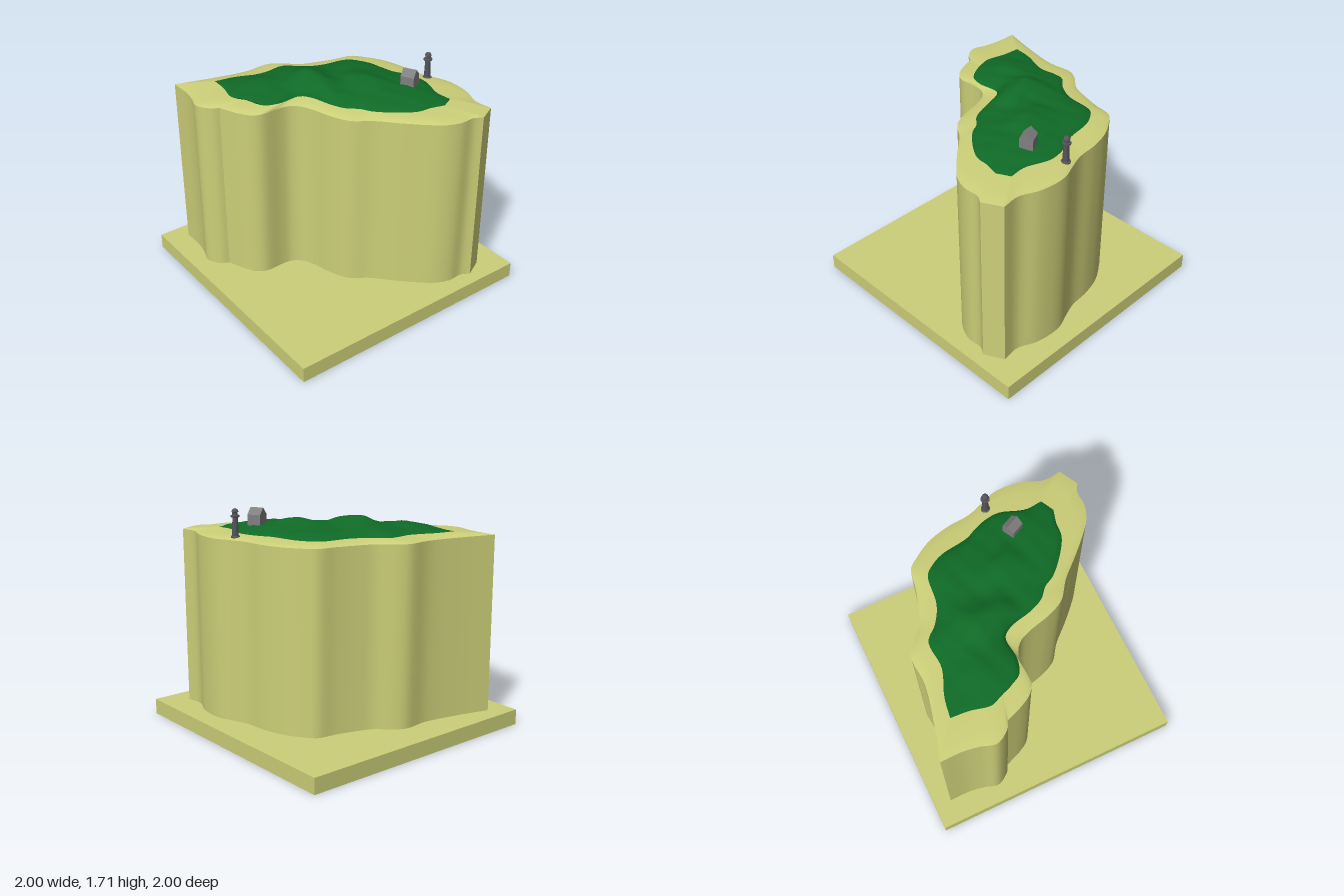
import * as THREE from 'three';
import { toCreasedNormals } from 'three/addons/utils/BufferGeometryUtils.js';

const SAND = 0xcccf78, GREEN = 0x0f6a26, STONE = 0x808080, IRON = 0x55555a;
const BASE_TOP = 0.12, CLIFF_BOTTOM = 0.02, CLIFF_TOP = 1.485, GRASS_EDGE = 1.512;

// Four sides of each outline as x, z pairs: left, back end, right, front end
const SHORE = [
  [-0.87, 0.82, -0.8, 0.57, -0.74, 0.27, -0.75, 0.07, -0.71, -0.01, -0.6, -0.13, -0.56, -0.23, -0.51, -0.4,
    -0.48, -0.55, -0.41, -0.61, -0.28, -0.69, -0.11, -0.74, 0.07, -0.76, 0.21, -0.81, 0.3, -0.845, 0.4, -0.855,
    0.55, -0.835, 0.69, -0.78, 0.83, -0.795],
  [0.83, -0.795, 0.905, -0.65],
  [0.905, -0.65, 0.87, -0.59, 0.87, -0.47, 0.83, -0.36, 0.74, -0.25, 0.62, -0.13, 0.48, 0, 0.38, 0.13, 0.26, 0.19,
    0.08, 0.24, -0.01, 0.28, -0.065, 0.35, -0.075, 0.42, -0.075, 0.58, -0.12, 0.65, -0.2, 0.7, -0.34, 0.755],
  [-0.34, 0.755, -0.36, 0.8, -0.47, 0.87, -0.58, 0.84, -0.7, 0.82, -0.87, 0.82],
];
const GRASS = [
  [-0.685, 0.58, -0.66, 0.43, -0.59, 0.23, -0.595, 0.02, -0.5, -0.08, -0.43, -0.21, -0.395, -0.44, -0.33, -0.5,
    -0.24, -0.545, -0.02, -0.585, 0.06, -0.625, 0.16, -0.66, 0.27, -0.67, 0.46, -0.61, 0.59, -0.62],
  [0.59, -0.62, 0.64, -0.52],
  [0.64, -0.52, 0.61, -0.41, 0.6, -0.31, 0.53, -0.19, 0.4, -0.05, 0.32, -0.005, 0.25, 0.07, 0.14, 0.12,
    -0.03, 0.165, -0.1, 0.22, -0.095, 0.4, -0.13, 0.5, -0.2, 0.54, -0.29, 0.55],
  [-0.29, 0.55, -0.31, 0.58, -0.39, 0.62, -0.55, 0.59, -0.685, 0.58],
];
const LONG = 72, SHORT = 24;

// Evenly spaced points along one side of an outline
function sample(flat, i) {
  const pts = [];
  for (let k = 0; k < flat.length; k += 2) pts.push(new THREE.Vector3(flat[k], 0, flat[k + 1]));
  return new THREE.CatmullRomCurve3(pts).getSpacedPoints(i % 2 ? SHORT : LONG);
}
const loop = (sides) => sides.flatMap((s, i) => sample(s, i).slice(i ? 1 : 0));

// Grid surface from fn(i, j) -> [x, y, z]
function surface(nu, nv, fn) {
  const pos = [], index = [];
  for (let i = 0; i <= nu; i++) {
    for (let j = 0; j <= nv; j++) {
      pos.push(...fn(i, j));
      if (i === nu || j === nv) continue;
      const a = i * (nv + 1) + j, c = a + nv + 1;
      index.push(a, a + 1, c, a + 1, c + 1, c);
    }
  }
  const g = new THREE.BufferGeometry();
  g.setAttribute('position', new THREE.Float32BufferAttribute(pos, 3));
  g.setIndex(index);
  g.computeVertexNormals();
  return g;
}

function part(name, geometry, color) {
  const mesh = new THREE.Mesh(geometry, new THREE.MeshStandardMaterial({ color, side: THREE.DoubleSide }));
  mesh.name = name;
  return mesh;
}

// Hill summits: x, z, extra height, radius
const HILLS = [
  [-0.24, 0.05, 0.075, 0.13], [-0.06, 0.03, 0.045, 0.1], [-0.02, -0.24, 0.035, 0.12],
  [0.14, -0.27, 0.045, 0.12], [-0.4, 0.38, 0.03, 0.12], [0.36, -0.38, 0.012, 0.14],
];

// Patch filling the four grass sides, raised into rolling hills
function hillGeometry() {
  const [L, T, Rr, Br] = GRASS.map(sample);
  const R = Rr.reverse(), B = Br.reverse();
  const fill = (u, v, i, j, k) =>
    (1 - v) * L[i][k] + v * R[i][k] + (1 - u) * B[j][k] + u * T[j][k]
    - ((1 - u) * ((1 - v) * L[0][k] + v * R[0][k]) + u * ((1 - v) * L[LONG][k] + v * R[LONG][k]));
  return surface(LONG, SHORT, (i, j) => {
    const u = i / LONG, v = j / SHORT;
    const x = fill(u, v, i, j, 'x'), z = fill(u, v, i, j, 'z');
    const fade = Math.pow(16 * u * (1 - u) * v * (1 - v), 0.6);
    let h = 0.042 + 0.004 * Math.sin(x * 31 + z * 12) * Math.sin(z * 27 - x * 9);
    for (const [hx, hz, amp, r] of HILLS) h += amp * Math.exp(-((x - hx) ** 2 + (z - hz) ** 2) / (r * r));
    return [x, GRASS_EDGE + h * Math.min(1, fade * 1.3), z];
  });
}

export function createModel() {
  const model = new THREE.Group();
  model.name = 'islandOnPlinth';

  // Plinth, open underneath
  const box = new THREE.BoxGeometry(2, BASE_TOP, 2);
  box.setIndex([...box.index.array].filter((_, k) => k < 18 || k > 23));
  box.clearGroups();
  box.translate(0, BASE_TOP / 2, 0);
  model.add(part('plinth', box, SAND));

  // Cliff wall and the beach rising gently to the grass
  const shore = loop(SHORE), grass = loop(GRASS), n = shore.length - 1;
  const cliff = surface(n, 1, (i, j) => [shore[i].x, j ? CLIFF_TOP : CLIFF_BOTTOM, shore[i].z]);
  model.add(part('cliff', toCreasedNormals(cliff, 0.5), SAND));
  const beach = surface(n, 5, (i, j) => {
    const t = j / 5, p = shore[i].clone().lerp(grass[i], t);
    return [p.x, CLIFF_TOP + (GRASS_EDGE - CLIFF_TOP) * Math.pow(t, 0.6), p.z];
  });
  model.add(part('beach', beach, SAND));
  model.add(part('hills', hillGeometry(), GREEN));

  // Gabled house, ridge along its own x
  const gable = new THREE.Shape([[-0.05, 0], [0.05, 0], [0.05, 0.09], [0, 0.14], [-0.05, 0.09]]
    .map(([x, y]) => new THREE.Vector2(x, y)));
  const houseGeo = new THREE.ExtrudeGeometry(gable, { depth: 0.105, bevelEnabled: false });
  houseGeo.translate(0, 0, -0.0525).rotateY(Math.PI / 2);
  const house = part('house', houseGeo, STONE);
  house.position.set(0.293, 1.54, -0.487);
  house.rotation.y = 0.45;
  model.add(house);

  // Lighthouse: foot, shaft, gallery, lantern and dome
  const profile = [[0, 0], [0.034, 0], [0.034, 0.012], [0.024, 0.016], [0.02, 0.145], [0.032, 0.15], [0.032, 0.162],
    [0.02, 0.164], [0.02, 0.185], [0.025, 0.187], [0.021, 0.2], [0.01, 0.21], [0, 0.212]];
  const tower = new THREE.LatheGeometry(profile.map(([x, y]) => new THREE.Vector2(x, y)), 16);
  const lighthouse = part('lighthouse', toCreasedNormals(tower, 0.6), IRON);
  lighthouse.position.set(0.2, 1.495, -0.745);
  model.add(lighthouse);

  return model;
}
